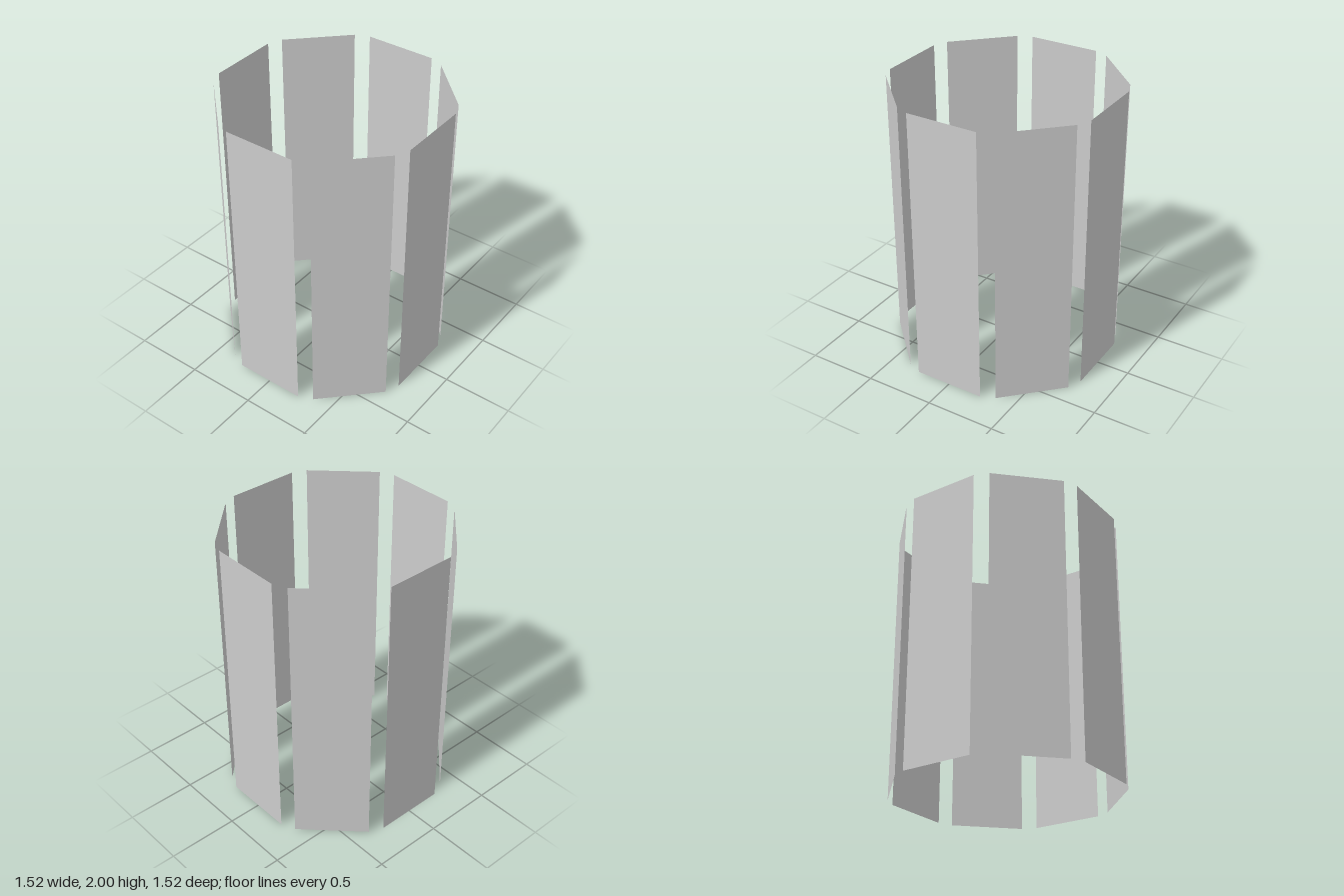
import * as THREE from 'three';

export function createModel() {
  const model = new THREE.Group();
  model.name = 'panelRing';

  const count = 8, radius = 0.762, width = 0.514, height = 2;
  const material = new THREE.MeshStandardMaterial({ color: 0xcccccc, side: THREE.DoubleSide });
  const geometry = new THREE.PlaneGeometry(width, height);

  // Upright flat panels spaced evenly in a ring, each facing outward
  for (let i = 0; i < count; i++) {
    const angle = (i / count) * Math.PI * 2;
    const panel = new THREE.Mesh(geometry, material);
    panel.name = `panel${i + 1}`;
    panel.position.set(Math.sin(angle) * radius, height / 2, Math.cos(angle) * radius);
    panel.rotation.y = angle;
    model.add(panel);
  }
  return model;
}
